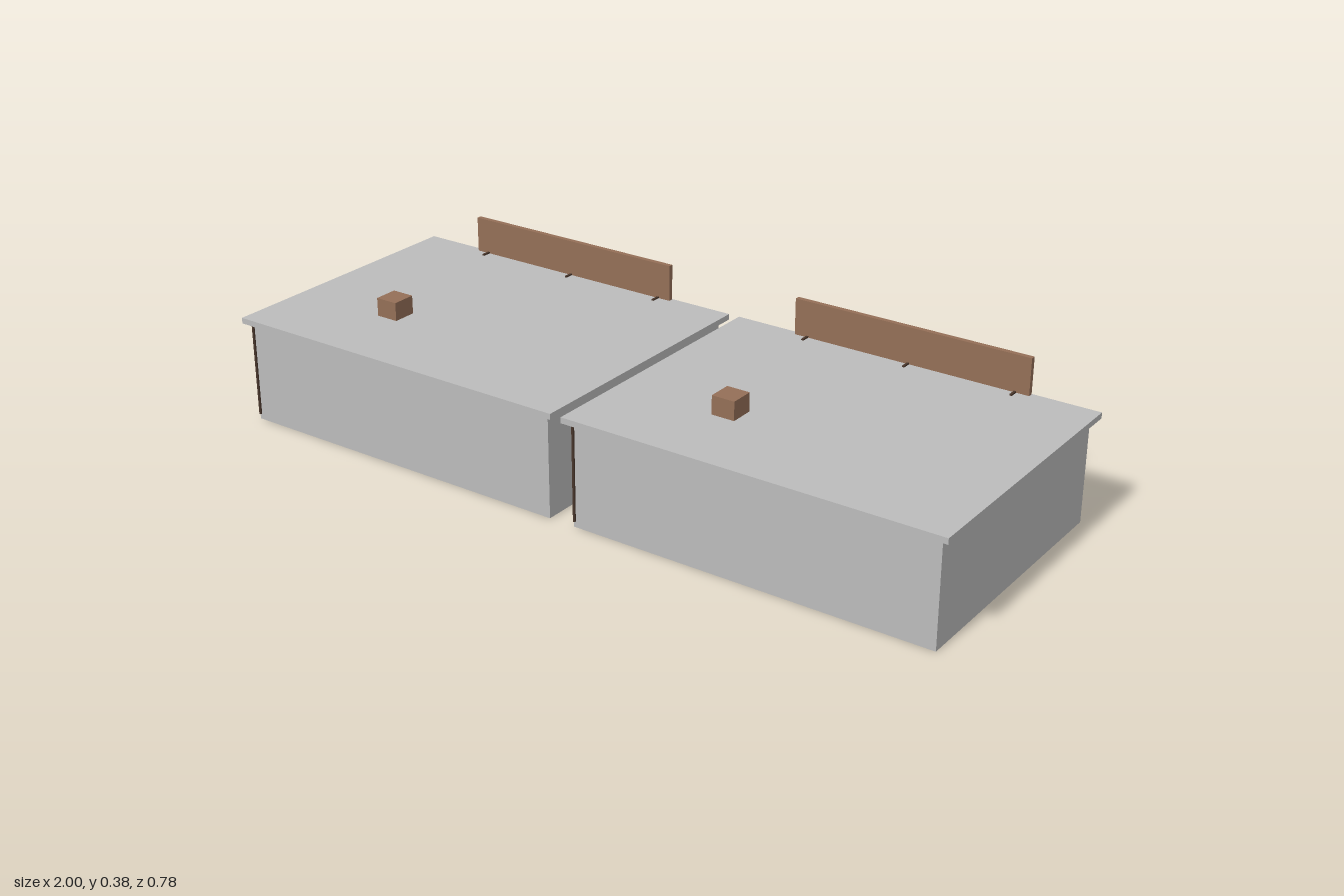
import * as THREE from 'three';

const mat = (name, color, side = THREE.FrontSide) => {
  const m = new THREE.MeshStandardMaterial({ color, side });
  m.name = name;
  return m;
};

export function createModel() {
  const grey = mat('concrete', 0xbcbcbc);
  const awningGrey = mat('awningCloth', 0xc6c6c4, THREE.DoubleSide);
  const wood = mat('wood', 0x946f57);
  const darkWood = mat('darkWood', 0x4a372c);
  const tan = mat('paleWood', 0xb49a86);
  const glass = mat('darkGlass', 0x5e5b58);

  // Box given by its limits on each axis
  const box = (parent, name, m, x0, x1, y0, y1, z0, z1) => {
    const mesh = new THREE.Mesh(new THREE.BoxGeometry(x1 - x0, y1 - y0, z1 - z0), m);
    mesh.position.set((x0 + x1) / 2, (y0 + y1) / 2, (z0 + z1) / 2);
    mesh.name = name;
    parent.add(mesh);
    return mesh;
  };

  const rect = (P, x0, x1, y0, y1) =>
    new P([[x0, y0], [x1, y0], [x1, y1], [x0, y1]].map(p => new THREE.Vector2(...p)));

  function shop() {
    const g = new THREE.Group();

    // Building mass and roof slab
    box(g, 'body', grey, -0.4725, 0.4725, 0, 0.265, -0.31, 0.372);
    box(g, 'roofSlab', grey, -0.4925, 0.4925, 0.265, 0.28, -0.345, 0.388);

    // Facade wall with window band and door opening
    const shape = rect(THREE.Shape, -0.4725, 0.4725, 0, 0.265);
    shape.holes.push(new THREE.Path([
      [-0.45, 0.06], [-0.45, 0.215], [0.44, 0.215], [0.44, 0.06],
      [0.045, 0.06], [0.045, 0.017], [-0.06, 0.017], [-0.06, 0.06],
    ].map(p => new THREE.Vector2(...p))));
    const facade = new THREE.Mesh(
      new THREE.ExtrudeGeometry(shape, { depth: 0.018, bevelEnabled: false }), grey);
    facade.position.z = -0.328;
    facade.name = 'facadeWall';
    g.add(facade);

    // Glazing and wooden posts
    box(g, 'windowGlassLeft', glass, 0.045, 0.44, 0.06, 0.215, -0.315, -0.31);
    box(g, 'windowGlassRight', glass, -0.45, -0.06, 0.06, 0.215, -0.315, -0.31);
    for (const x of [0.425, 0.34, 0.23, 0.13, 0.045, -0.06, -0.127, -0.21, -0.28, -0.37]) {
      const isDoor = x === 0.045 || x === -0.06;
      box(g, 'post', wood, x - 0.006, x + 0.006, isDoor ? 0.017 : 0.06, 0.2, -0.331, -0.31);
    }
    box(g, 'headerRail', wood, -0.45, 0.44, 0.192, 0.2, -0.33, -0.31);
    box(g, 'windowSill', darkWood, -0.45, -0.06, 0.06, 0.064, -0.33, -0.31);
    box(g, 'windowSill', darkWood, 0.045, 0.44, 0.06, 0.064, -0.33, -0.31);

    // Door with cross rails and entrance mat
    box(g, 'door', grey, -0.054, 0.039, 0.017, 0.192, -0.318, -0.31);
    for (const y of [0.09, 0.16])
      box(g, 'doorRail', darkWood, -0.054, 0.039, y, y + 0.003, -0.32, -0.318);
    box(g, 'entranceMat', grey, -0.0375, 0.0275, 0.015, 0.019, -0.372, -0.335);

    // Sloping awning and its struts
    const cloth = new THREE.Mesh(new THREE.PlaneGeometry(0.89, Math.hypot(0.019, 0.024)), awningGrey);
    cloth.position.set(-0.005, 0.208, -0.3365);
    cloth.rotation.x = Math.atan2(0.019, 0.024);
    cloth.name = 'awning';
    g.add(cloth);
    for (let i = 0; i <= 8; i++) {
      const x = -0.445 + i * 0.11;
      const strut = box(g, 'awningStrut', darkWood, x - 0.0015, x + 0.0015, 0.19, 0.192, -0.346, -0.328);
      strut.rotation.x = 0.4;
    }

    // Small hanging board
    box(g, 'hangingRod', darkWood, -0.136, -0.134, 0.18, 0.197, -0.346, -0.344);
    box(g, 'hangingBoard', wood, -0.15, -0.12, 0.165, 0.182, -0.348, -0.342);

    // Roof sign board with slats and rear brackets
    box(g, 'signBoard', wood, -0.318, 0.318, 0.28, 0.375, -0.343, -0.33);
    for (let i = 0; i < 9; i++) {
      const x = -0.28 + i * 0.07;
      box(g, 'signSlat', tan, x - 0.004, x + 0.004, 0.3, 0.358, -0.346, -0.343);
    }
    for (const x of [-0.282, 0, 0.282])
      box(g, 'signBracket', darkWood, x - 0.003, x + 0.003, 0.28, 0.284, -0.33, -0.307);

    // Chimney and corner drainpipe
    box(g, 'chimney', wood, -0.223, -0.162, 0.28, 0.328, 0.115, 0.178);
    const pipe = new THREE.Mesh(new THREE.CylinderGeometry(0.0035, 0.0035, 0.25, 8), darkWood);
    pipe.position.set(-0.468, 0.141, 0.3755);
    pipe.name = 'drainpipe';
    g.add(pipe);

    // Bench: seat on two side panels
    const bench = new THREE.Group();
    bench.name = 'bench';
    g.add(bench);
    box(bench, 'benchSeat', grey, 0.1325, 0.2125, 0.048, 0.053, -0.379, -0.346);
    for (const x of [0.14, 0.2])
      box(bench, 'benchSide', grey, x, x + 0.005, 0.017, 0.048, -0.376, -0.348);

    // Row of open crates
    for (let i = 0; i < 3; i++) {
      const crate = new THREE.Group();
      crate.name = 'crate';
      crate.position.x = -0.22 + i * 0.045;
      g.add(crate);
      box(crate, 'crateFilling', grey, -0.013, 0.013, 0.019, 0.042, -0.383, -0.365);
      for (const s of [-1, 1]) {
        box(crate, 'crateEnd', darkWood, s * 0.0155 - 0.0025, s * 0.0155 + 0.0025, 0.017, 0.045, -0.388, -0.36);
        for (const y of [0.018, 0.034]) {
          const z = -0.374 + s * 0.0115;
          box(crate, 'crateSlat', darkWood, -0.013, 0.013, y, y + 0.01, z - 0.0025, z + 0.0025);
        }
      }
      box(crate, 'crateDivider', darkWood, -0.002, 0.002, 0.04, 0.045, -0.383, -0.365);
    }
    return g;
  }

  // Two identical shops side by side
  const model = new THREE.Group();
  model.name = 'shopPair';
  [[-0.5075, 'rightShop'], [0.5075, 'leftShop']].forEach(([x, name]) => {
    const s = shop();
    s.position.x = x;
    s.name = name;
    model.add(s);
  });
  return model;
}
